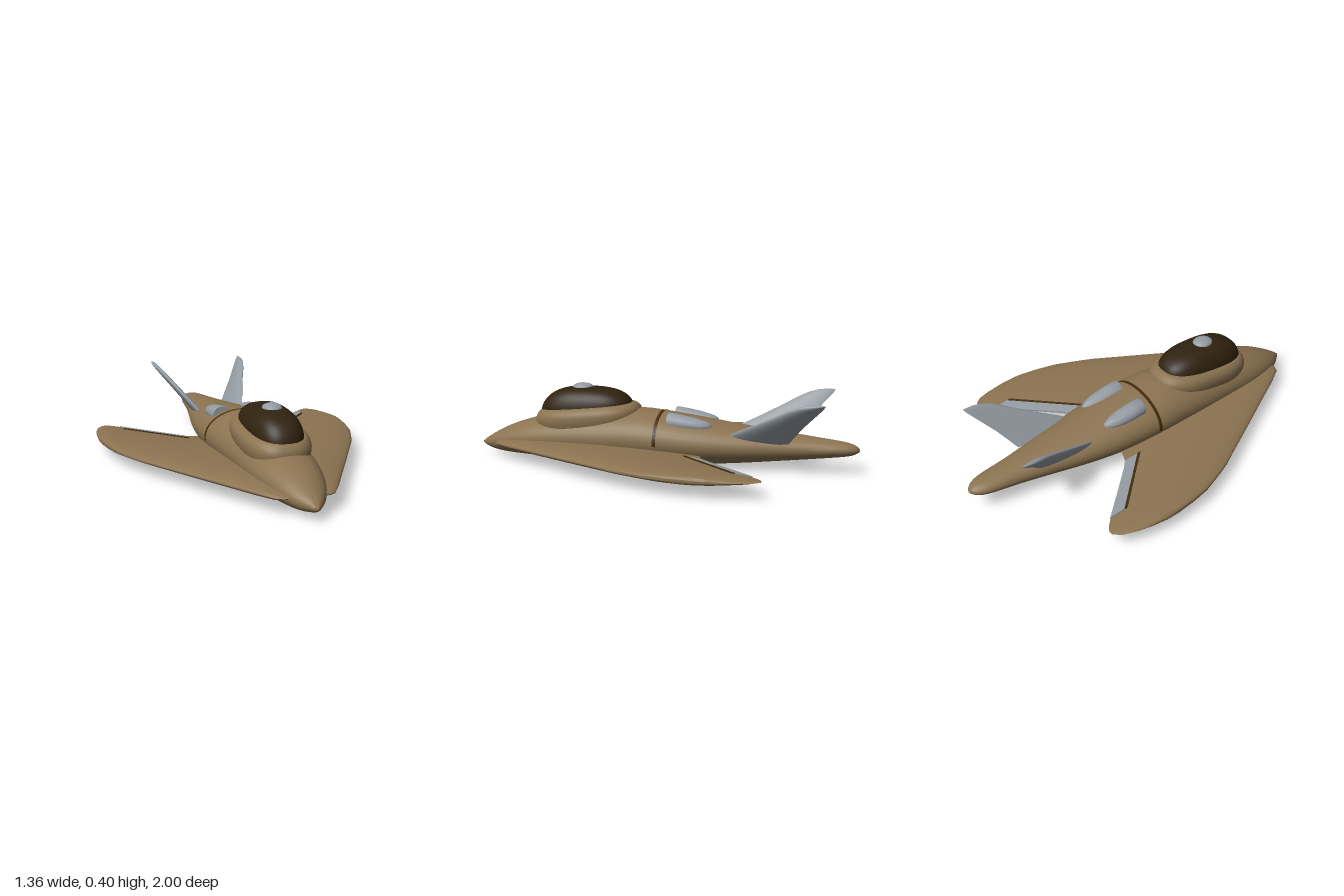
import * as THREE from 'three';
import { toCreasedNormals } from 'three/addons/utils/BufferGeometryUtils.js';

const material = (name, color) => {
  const m = new THREE.MeshStandardMaterial({ color });
  m.name = name;
  return m;
};

// Skin a list of closed rings of [x, y, z] points, cap both ends, face outwards
function loft(rings, crease = 0.8) {
  const n = rings[0].length, pos = rings.flat(2), tris = [];
  const at = i => new THREE.Vector3(pos[i * 3], pos[i * 3 + 1], pos[i * 3 + 2]);
  for (let r = 0; r < rings.length - 1; r++) {
    for (let i = 0; i < n; i++) {
      const a = r * n + i, b = r * n + (i + 1) % n;
      tris.push([a, b, b + n], [a, b + n, a + n]);
    }
  }
  const cap = (r, flip) => {
    const centre = [0, 1, 2].map(k => rings[r].reduce((s, p) => s + p[k], 0) / n);
    const c = pos.length / 3;
    pos.push(...centre);
    for (let i = 0; i < n; i++) {
      const a = r * n + i, b = r * n + (i + 1) % n;
      tris.push(flip ? [c, b, a] : [c, a, b]);
    }
  };
  cap(0, true);
  cap(rings.length - 1, false);
  const volume = tris.reduce((s, [a, b, c]) => s + at(a).dot(at(b).cross(at(c))), 0);
  const geo = new THREE.BufferGeometry();
  geo.setAttribute('position', new THREE.Float32BufferAttribute(pos, 3));
  geo.setIndex(tris.flatMap(([a, b, c]) => (volume < 0 ? [a, c, b] : [a, b, c])));
  return toCreasedNormals(geo, crease);
}

const circle = (n, fn) => Array.from({ length: n }, (_, i) => fn((i / n) * Math.PI * 2));

// Wing rows: x, leading z, trailing z, half thickness
const WING = [
  [0.04, 0.885, -0.19, 0.034], [0.11, 0.88, -0.21, 0.035], [0.14, 0.865, -0.22, 0.035],
  [0.2, 0.77, -0.24, 0.035], [0.25, 0.68, -0.26, 0.034], [0.4, 0.415, -0.42, 0.031],
  [0.52, 0.2, -0.55, 0.028], [0.56, 0.13, -0.59, 0.026], [0.585, 0.075, -0.605, 0.025],
  [0.61, 0.015, -0.605, 0.024], [0.64, -0.06, -0.57, 0.022], [0.66, -0.15, -0.51, 0.019],
  [0.672, -0.23, -0.45, 0.015], [0.679, -0.3, -0.38, 0.008], [0.68, -0.335, -0.345, 0.002],
];
const airfoil = s => 2.37 * Math.sqrt(s) * Math.pow(1 - s, 0.8);

function wingAt(x) {
  const i = Math.max(1, WING.findIndex(r => r[0] >= x));
  const a = WING[i - 1], b = WING[i], t = (x - a[0]) / (b[0] - a[0]);
  return a.map((v, k) => v + (b[k] - v) * t);
}

// Closed strip over the wing between two z limits, raised above and below
function wingStrip(m, zFront, zBack, above, below) {
  const rings = [];
  for (let k = 0; k <= 8; k++) {
    const x = 0.24 + 0.035 * k, [, le, te, h] = wingAt(x), ring = [];
    for (let j = 0; j < 12; j++) {
      const top = j < 6, t = (top ? j : 11 - j) / 5;
      const z = THREE.MathUtils.lerp(zFront(x), zBack(x), t);
      const y = h * airfoil(THREE.MathUtils.clamp((le - z) / (le - te), 0, 1));
      ring.push([m * x, 0.085 + (top ? y + above : -y - below), z]);
    }
    rings.push(ring);
  }
  return loft(rings, 0.5);
}

export function createModel() {
  const model = new THREE.Group();
  model.name = 'spacecraft';
  const hull = material('hull brown', 0x8b7350);
  const glass = material('canopy dark brown', 0x2f220f);
  const metal = material('metal grey', 0x939ba2);
  const seam = material('seam brown', 0x452c0c);
  const add = (name, geo, mat) => {
    const mesh = new THREE.Mesh(geo, mat);
    mesh.name = name;
    model.add(mesh);
    return mesh;
  };

  // Fuselage stations: z, top, bottom, half width
  const stations = [
    [1, 0.066, 0.06, 0.002], [0.97, 0.09, 0.043, 0.03], [0.9, 0.132, 0.026, 0.08],
    [0.8, 0.178, 0.016, 0.122], [0.65, 0.222, 0.01, 0.156], [0.4, 0.262, 0.006, 0.182],
    [0.15, 0.284, 0.005, 0.197], [0, 0.276, 0.008, 0.2], [-0.2, 0.25, 0.015, 0.188],
    [-0.4, 0.222, 0.03, 0.158], [-0.6, 0.198, 0.05, 0.115], [-0.75, 0.18, 0.066, 0.086],
    [-0.9, 0.162, 0.084, 0.066], [-0.96, 0.15, 0.094, 0.047], [-0.99, 0.135, 0.107, 0.022],
    [-1, 0.122, 0.118, 0.002],
  ];
  const spline = fn => new THREE.CatmullRomCurve3(stations.map(fn), false, 'catmullrom', 0.5).getPoints(60);
  const heights = spline(s => new THREE.Vector3(s[0], s[1], s[2]));
  const widths = spline(s => new THREE.Vector3(s[0], s[3], 0));
  add('fuselage', loft(heights.map((p, k) => circle(40, a => [
    widths[k].y * Math.cos(a), (p.y + p.z) / 2 + (p.y - p.z) / 2 * Math.sin(a), p.x,
  ])), 1.2), hull);

  // Raised seam arching over the fuselage
  const arch = Array.from({ length: 41 }, (_, i) => {
    const a = -0.12 + (i / 40) * (Math.PI + 0.24);
    return [[1.008, 0.008], [1.008, -0.008], [0.96, -0.008], [0.96, 0.008]].map(([k, z]) =>
      [0.2 * k * Math.cos(a), 0.142 + 0.134 * k * Math.sin(a), z]);
  });
  add('fuselageSeam', loft(arch, 0.5), seam);

  // Rounded-box outline used by the cockpit parts
  const oval = (y, w, z0, z1, slope) => circle(48, a => {
    const c = Math.cos(a), s = Math.sin(a), e = 2 / 2.6;
    const z = (z0 + z1) / 2 + (z1 - z0) / 2 * Math.sign(s) * Math.pow(Math.abs(s), e);
    return [w * Math.sign(c) * Math.pow(Math.abs(c), e), y + slope * (0.4 - z), z];
  });
  const collar = [
    [0.15, 0.14, 0.17, 0.64], [0.19, 0.156, 0.135, 0.667], [0.22, 0.164, 0.122, 0.678],
    [0.245, 0.165, 0.12, 0.68], [0.265, 0.16, 0.127, 0.673], [0.28, 0.148, 0.143, 0.662],
    [0.289, 0.132, 0.16, 0.65], [0.29, 0.11, 0.19, 0.62],
  ];
  add('cockpitCollar', loft(collar.map(r => oval(...r, 0.1)), 1.2), hull);
  const dome = Array.from({ length: 15 }, (_, i) => {
    const a = (i / 14) * Math.PI / 2, k = Math.max(0.01, Math.pow(Math.cos(a), 0.75)), up = Math.sin(a);
    return oval(0.275 + 0.112 * up, 0.127 * k, 0.41 - 0.242 * k, 0.41 + 0.242 * k, 0.1 * (1 - 0.8 * up));
  });
  add('canopy', loft(dome, 1.2), glass);
  const knob = add('canopyKnob', new THREE.SphereGeometry(0.05, 24, 16), metal);
  knob.scale.set(0.95, 0.46, 1.1);
  knob.position.set(0, 0.382, 0.43);

  for (const m of [1, -1]) {
    const side = m > 0 ? 'left' : 'right';

    // Delta wing with rounded tip
    add(side + 'Wing', loft(WING.map(([x, le, te, h]) => circle(40, a => {
      const s = (1 - Math.cos(a)) / 2;
      return [m * x, 0.085 + Math.sign(Math.sin(a)) * h * airfoil(s), le + (te - le) * s];
    })), 1.0), hull);

    // Control flap and its dark hinge line
    const hinge = x => -0.18 - 1.036 * (x - 0.24);
    add(side + 'Flap', wingStrip(m, hinge, x => wingAt(x)[2] - 0.003, 0.004, 0.004), metal);
    add(side + 'FlapHinge', wingStrip(m, x => hinge(x) + 0.018, hinge, 0.005, -0.004), seam);

    // Intake pod: blunt front, tapered tail (z, half width, half height, centre y)
    const pod = [
      [-0.05, 0.046, 0.04, 0.242], [-0.056, 0.049, 0.043, 0.241], [-0.12, 0.049, 0.041, 0.234],
      [-0.18, 0.045, 0.036, 0.228], [-0.22, 0.037, 0.03, 0.224], [-0.25, 0.026, 0.023, 0.222],
      [-0.268, 0.014, 0.014, 0.221], [-0.275, 0.002, 0.002, 0.22],
    ];
    add(side + 'Intake', loft(pod.map(([z, w, h, y]) => circle(24, a =>
      [m * (0.094 + w * Math.cos(a)), y + h * Math.sin(a), z])), 1.0), metal);

    // Canted tail fin: y, leading z, trailing z, half thickness
    const fin = [
      [0.155, -0.33, -0.66, 0.016], [0.2, -0.385, -0.695, 0.016], [0.25, -0.49, -0.735, 0.015],
      [0.3, -0.59, -0.782, 0.014], [0.34, -0.665, -0.82, 0.013], [0.362, -0.715, -0.84, 0.012],
      [0.374, -0.76, -0.848, 0.01], [0.379, -0.8, -0.85, 0.006],
    ];
    add(side + 'Fin', loft(fin.map(([y, le, te, h]) => circle(24, a => {
      const s = (1 - Math.cos(a)) / 2, t = Math.sign(Math.sin(a)) * h * airfoil(s);
      return [m * (0.105 + 0.74 * (y - 0.165) + t * 0.8), y - t * 0.6, le + (te - le) * s];
    })), 0.8), metal);
  }
  return model;
}
